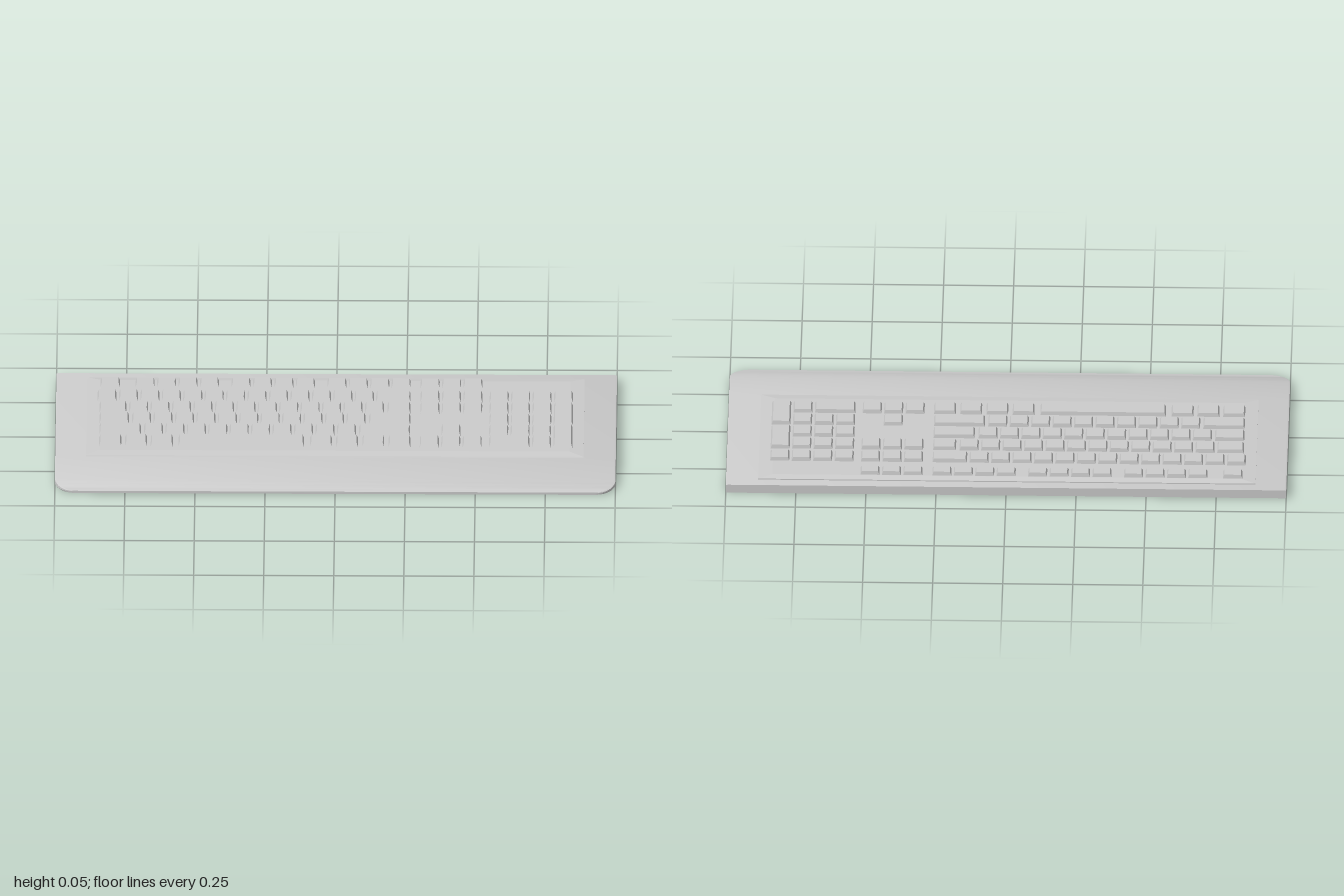
import * as THREE from 'three';
import { toCreasedNormals } from 'three/addons/utils/BufferGeometryUtils.js';

const material = new THREE.MeshStandardMaterial({ color: 0xcccccc });

function part(name, geometry) {
  const mesh = new THREE.Mesh(geometry, material);
  mesh.name = name;
  return mesh;
}

// Box between two corners whose top is drawn in by side, back and front insets
function taperedBox([x0, x1], [z0, z1], [y0, y1], side, back, front) {
  const g = new THREE.BoxGeometry(1, 1, 1);
  const p = g.attributes.position;
  for (let i = 0; i < p.count; i++) {
    const top = p.getY(i) > 0 ? 1 : 0;
    const x = p.getX(i) < 0 ? x0 + side * top : x1 - side * top;
    const z = p.getZ(i) < 0 ? z0 + back * top : z1 - front * top;
    p.setXYZ(i, x, top ? y1 : y0, z);
  }
  g.computeVertexNormals();
  return g;
}

// Body: cross-sections across x, lofted from back to front
function bodyGeometry() {
  const back = -0.407, front = 0.405, radius = 0.07;
  const stations = [back, 0.2, 0.225, 0.25, 0.275, 0.3, 0.32];
  for (let i = 0; i <= 10; i++) stations.push(front - radius + radius * Math.sin(i * Math.PI / 20));

  const positions = [], index = [];
  for (const z of stations) {
    const c = Math.max(0, z - (front - radius));
    const w = 1 - radius + Math.sqrt(Math.max(0, radius * radius - c * c));
    const t = Math.max(0, (z - 0.2) / (front - 0.2));
    const h = 0.033 - 0.024 * t * t;
    const half = [[w - 0.004, 0], [w, 0.004], [w, h - 0.002], [w - 0.006, h]];
    for (const [x, y] of half) positions.push(x, y, z);
    for (const [x, y] of [...half].reverse()) positions.push(-x, y, z);
  }
  const n = 8, last = (stations.length - 1) * n;
  for (let s = 0; s < last; s += n) {
    for (let i = 0; i < n; i++) {
      const a = s + i, b = s + (i + 1) % n;
      index.push(a, b, a + n, b, b + n, a + n);
    }
  }
  for (let i = 1; i < n - 1; i++) {
    index.push(0, i + 1, i);
    index.push(last, last + i, last + i + 1);
  }
  const g = new THREE.BufferGeometry();
  g.setAttribute('position', new THREE.Float32BufferAttribute(positions, 3));
  g.setIndex(index);
  return toCreasedNormals(g, 0.4);
}

export function createModel() {
  const model = new THREE.Group();
  model.name = 'keyboard';
  model.add(part('body', bodyGeometry()));

  // Raised key plate: short upright edge, then a shallow bevel
  const plate = new THREE.Group();
  plate.name = 'keyPlate';
  const px = [-0.89, 0.885], pz = [-0.37, 0.2];
  plate.add(part('plateEdge', taperedBox(px, pz, [0.03, 0.037], 0, 0, 0.006)));
  plate.add(part('plateTop', taperedBox(px, [pz[0], pz[1] - 0.006], [0.037, 0.041], 0.05, 0.025, 0.03)));
  model.add(plate);

  // Key rows, back to front
  const rows = [
    [-0.343, -0.29], [-0.255, -0.187], [-0.173, -0.104],
    [-0.092, -0.022], [-0.012, 0.058], [0.069, 0.14],
  ];
  const pitch = 0.0765, keyWidth = 0.07;

  function addKey(group, x0, x1, row, endRow = row) {
    const z = [rows[row][0], rows[endRow][1]];
    group.add(part('key', taperedBox([x0, x1], z, [0.038, 0.055], 0.006, 0.003, 0.014)));
  }
  function addRun(group, x0, count, row, step = pitch, width = keyWidth) {
    for (let i = 0; i < count; i++) addKey(group, x0 + i * step, x0 + i * step + width, row);
  }
  function block(name) {
    const g = new THREE.Group();
    g.name = name;
    model.add(g);
    return g;
  }

  // Back row: one single key and three sets of four
  const backRow = block('backRowKeys');
  addKey(backRow, -0.843, -0.772, 0);
  for (const x of [-0.718, -0.376, -0.034]) addRun(backRow, x, 4, 0);

  // Main block: [row, left key start, left key end, letter start, letter count, right key start]
  const main = block('mainKeys');
  const left = -0.845, right = 0.266;
  const layout = [
    [1, -0.853, -0.784, -0.777, 12, 0.141],
    [2, left, -0.748, -0.74, 12, 0.182],
    [3, left, -0.738, -0.729, 11, 0.117],
    [4, left, -0.695, -0.686, 10, 0.082],
  ];
  for (const [row, a, b, start, count, end] of layout) {
    addKey(main, a, b, row);
    addRun(main, start, count, row);
    addKey(main, end, right, row);
  }

  // Bottom row with space bar
  addRun(main, left, 3, 5, 0.092, 0.081);
  addKey(main, -0.562, -0.112, 5);
  addRun(main, -0.093, 4, 5, 0.0935, 0.08);

  // Navigation and arrow keys
  const navigation = block('navigationKeys');
  const navX = 0.299;
  for (const row of [0, 1, 2, 5]) addRun(navigation, navX, 3, row);
  addRun(navigation, navX + pitch, 1, 4);

  // Number pad with two double-height keys and one double-width key
  const pad = block('numberPad');
  const padX = 0.546;
  addRun(pad, padX, 4, 1);
  for (const row of [2, 3, 4]) addRun(pad, padX, 3, row);
  addKey(pad, padX, padX + pitch + keyWidth, 5);
  addRun(pad, padX + 2 * pitch, 1, 5);
  for (const row of [2, 4]) addKey(pad, padX + 3 * pitch, padX + 3 * pitch + keyWidth, row, row + 1);

  return model;
}
